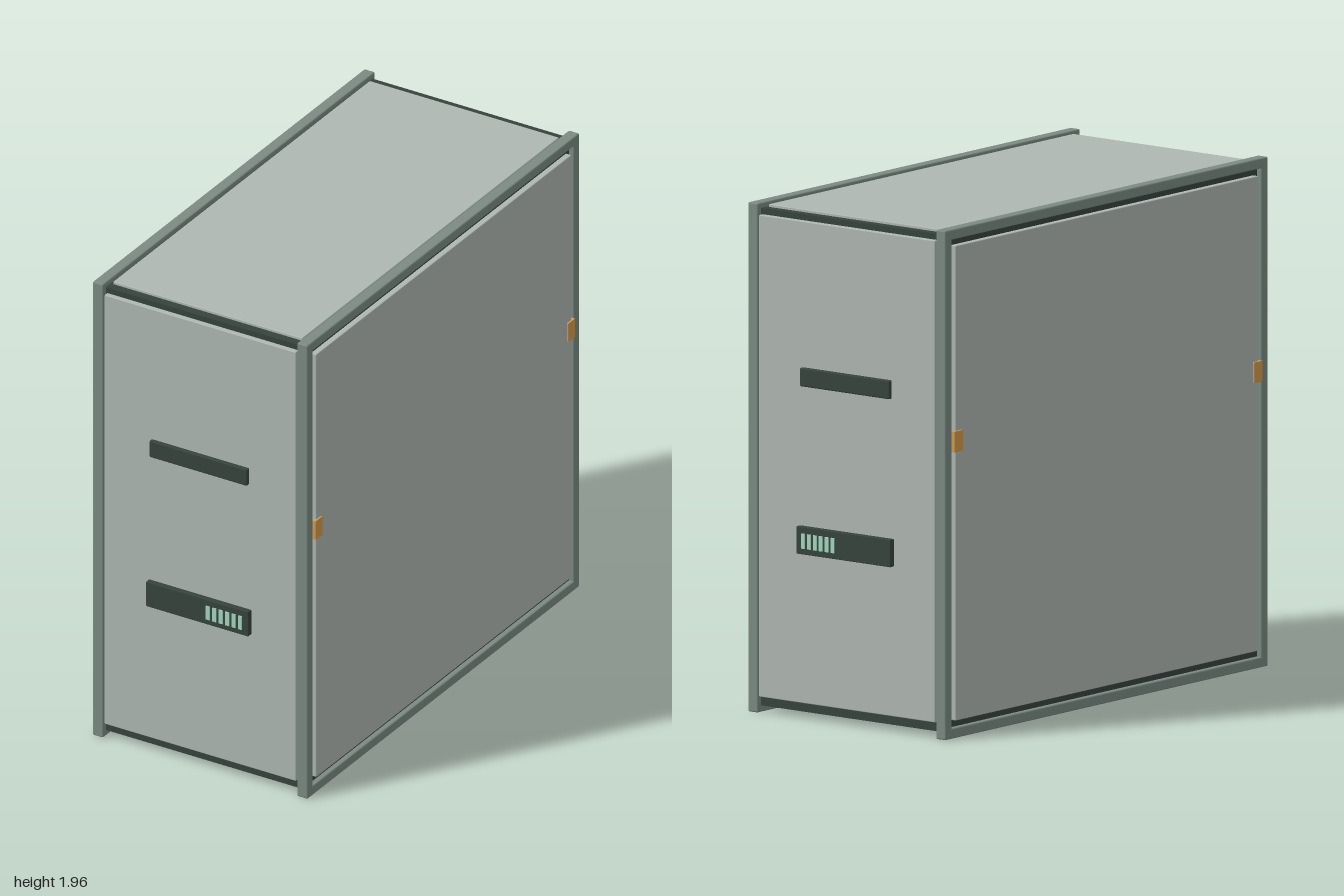
import * as THREE from 'three';
import { RoundedBoxGeometry } from 'three/addons/geometries/RoundedBoxGeometry.js';

const mat = (color) => new THREE.MeshStandardMaterial({ color });

export function createModel() {
  const model = new THREE.Group();
  const panel = mat(0xaeb7b1), frame = mat(0x7b8a83), dark = mat(0x37433e);
  const amber = mat(0xd09a4c), mint = mat(0xa3d6c0);

  // Softly rounded box given by its minimum and maximum corners
  const block = (name, min, max, material, radius = 0.004, parent = model) => {
    const s = max.map((v, i) => v - min[i]);
    const geometry = radius
      ? new RoundedBoxGeometry(s[0], s[1], s[2], 2, radius)
      : new THREE.BoxGeometry(...s);
    const mesh = new THREE.Mesh(geometry, material);
    mesh.name = name;
    mesh.position.set(...max.map((v, i) => (v + min[i]) / 2));
    parent.add(mesh);
    return mesh;
  };

  const H = 1.955, Z = 0.975, BAR = 0.04;

  // Dark inner cabinet and its top cover
  block('cabinetCore', [-0.455, 0.026, -0.955], [0.455, 1.935, 0.955], dark, 0);
  block('topPanel', [-0.42, 1.92, -0.92], [0.42, 1.946, 0.92], panel);

  for (const side of [1, -1]) {
    const name = side > 0 ? 'left' : 'right';
    const x = [0.43 * side, 0.477 * side].sort((a, b) => a - b);

    // Square frame around each side
    const rim = new THREE.Group();
    rim.name = name + 'Frame';
    model.add(rim);
    block('topRail', [x[0], H - BAR, -Z], [x[1], H, Z], frame, 0.006, rim);
    block('bottomRail', [x[0], 0, -Z], [x[1], BAR, Z], frame, 0.006, rim);
    block('frontPost', [x[0], 0, Z - BAR], [x[1], H, Z], frame, 0.006, rim);
    block('backPost', [x[0], 0, -Z], [x[1], H, BAR - Z], frame, 0.006, rim);

    // Side cover
    const p = [0.44 * side, 0.479 * side].sort((a, b) => a - b);
    block(name + 'SidePanel', [p[0], 0.067, -0.915], [p[1], 1.89, 0.915], panel);

    // Amber clips near the front and back edges
    const c = [0.45 * side, 0.486 * side].sort((a, b) => a - b);
    for (const end of [1, -1]) {
      const z = [0.88 * end, 0.93 * end].sort((a, b) => a - b);
      block(name + 'Clip', [c[0], 1.1, z[0]], [c[1], 1.18, z[1]], amber, 0.002);
    }
  }

  // Matching front and back faces: cover, handle, vent and indicator slats
  for (const end of [1, -1]) {
    const face = new THREE.Group();
    face.name = end > 0 ? 'frontFace' : 'backFace';
    model.add(face);
    const part = (name, x0, x1, y0, y1, depth, material, r) => {
      const z = [0.94 * end, depth * end].sort((a, b) => a - b);
      block(name, [x0, y0, z[0]], [x1, y1, z[1]], material, r, face);
    };
    part('cover', -0.425, 0.425, 0.062, 1.912, 0.974, panel, 0.004);
    part('handle', -0.217, 0.217, 1.28, 1.352, 0.989, dark, 0.006);
    part('vent', -0.227, 0.227, 0.638, 0.744, 0.996, dark, 0.003);
    for (let i = 0; i < 6; i++) {
      const x = 0.041 + i * 0.0285;
      part('indicatorSlat', x, x + 0.017, 0.661, 0.719, 1, mint, 0);
    }
  }
  return model;
}
